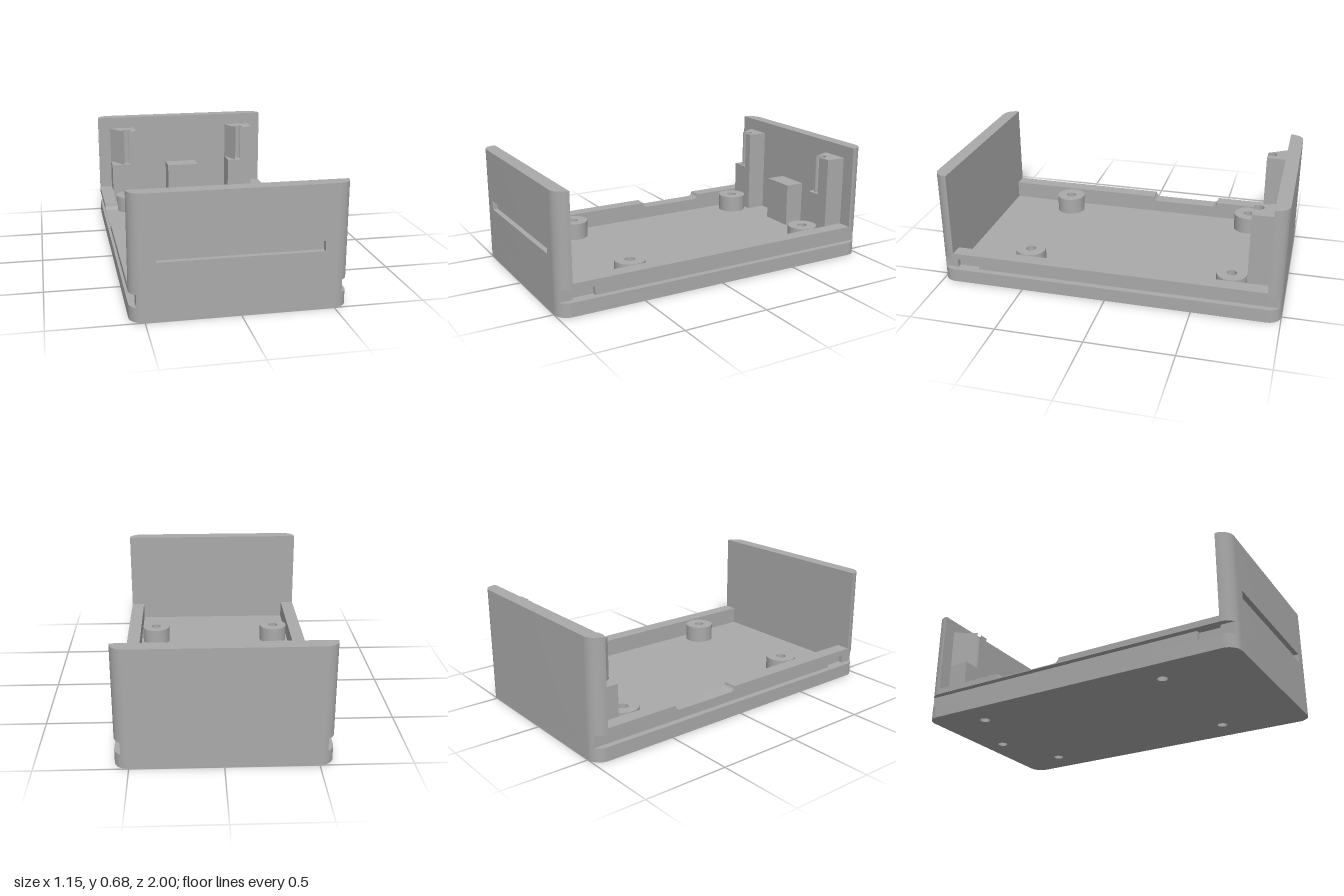
import * as THREE from 'three';
import { toCreasedNormals } from 'three/addons/utils/BufferGeometryUtils.js';

const W = 0.577, R = 0.077;           // half width, corner radius
const CX = W - R, CZ = 1 - R;         // corner arc centres
const IX = 0.495, IZ = 0.92;          // inner cavity half sizes
const FLOOR = 0.08, GROOVE = 0.15, RIM = 0.185, TOP = 0.68;
const HALF = Math.PI / 2;

export function createModel() {
  const group = new THREE.Group();
  const grey = new THREE.MeshStandardMaterial({ color: 0xaaaaaa });
  grey.name = 'case grey';

  const add = (geo, name) => {
    const mesh = new THREE.Mesh(toCreasedNormals(geo, 0.6), grey);
    mesh.name = name;
    group.add(mesh);
    return mesh;
  };
  // Extrudes a plan outline (shape y = -z) upward from y0 to y1
  const slab = (shape, y0, y1, name) => {
    const geo = new THREE.ExtrudeGeometry(shape, { depth: y1 - y0, bevelEnabled: false, curveSegments: 16 });
    geo.rotateX(-HALF);
    geo.translate(0, y0, 0);
    return add(geo, name);
  };
  const rect = (x0, x1, z0, z1) => new THREE.Shape([[x0, -z1], [x1, -z1], [x1, -z0], [x0, -z0]]
    .map(p => new THREE.Vector2(...p)));
  const circle = (x, z, r) => new THREE.Path().absarc(x, -z, r, 0, Math.PI * 2, true);

  // Rounded plan outline; a > 0 trims the sides for the rail groove and adds its latch pockets
  const outline = (a) => {
    const s = new THREE.Shape();
    const gx = CX + R * Math.cos(a), px = 0.515;
    s.absarc(CX, CZ, R, a, HALF);
    s.absarc(-CX, CZ, R, HALF, Math.PI - a);
    if (a) [[-gx, -0.78], [-px, -0.78], [-px, -0.91], [-gx, -0.91]].forEach(p => s.lineTo(...p));
    s.absarc(-CX, -CZ, R, Math.PI + a, 3 * HALF);
    s.absarc(CX, -CZ, R, 3 * HALF, 4 * HALF - a);
    if (a) [[gx, -0.91], [px, -0.91], [px, -0.78], [gx, -0.78]].forEach(p => s.lineTo(...p));
    s.closePath();
    return s;
  };

  const posts = [[-0.395, -0.7], [0.395, -0.7], [-0.395, 0.5], [0.395, 0.5]];

  // Floor with four screw holes and one blind hole under the middle block
  const floor = outline(0);
  [...posts, [0, -0.87]].forEach(([x, z]) => floor.holes.push(circle(x, z, 0.03)));
  slab(floor, 0, FLOOR, 'floor');

  // Wall band holding the side rail grooves
  const band = outline(Math.acos((0.542 - CX) / R));
  band.holes.push(rect(-IX, IX, -IZ, IZ));
  slab(band, FLOOR, GROOVE, 'grooveBand');

  // Left rim is plain
  slab(rect(IX, W, -IZ, IZ), GROOVE, RIM, 'leftRim');

  // Right rim has a shallow dip with rounded ends
  const d = RIM - 0.155;
  const rim = new THREE.Shape();
  rim.moveTo(-IZ, GROOVE);
  rim.lineTo(IZ, GROOVE);
  rim.lineTo(IZ, RIM);
  rim.lineTo(-0.055, RIM);
  rim.absarc(-0.055 - d, RIM, d, 0, -HALF, true);
  rim.absarc(-0.48 + d, RIM, d, -HALF, -Math.PI, true);
  rim.lineTo(-IZ, RIM);
  rim.closePath();
  const rimGeo = new THREE.ExtrudeGeometry(rim, { depth: W - IX, bevelEnabled: false });
  rimGeo.rotateY(-HALF);
  rimGeo.translate(-IX, 0, 0);
  add(rimGeo, 'rightRim');

  // End walls with rounded outer corners; the front one carries a shallow slot
  const endShape = (slot) => {
    const s = new THREE.Shape();
    s.moveTo(W, -IZ);
    s.lineTo(-W, -IZ);
    s.absarc(-CX, -CZ, R, Math.PI, 3 * HALF);
    if (slot) [[-0.44, -1], [-0.44, -0.97], [0.44, -0.97], [0.44, -1]].forEach(p => s.lineTo(...p));
    s.absarc(CX, -CZ, R, 3 * HALF, 4 * HALF);
    s.closePath();
    return s;
  };
  slab(endShape(false), GROOVE, 0.32, 'frontWallLower');
  slab(endShape(true), 0.32, 0.375, 'frontWallSlot');
  slab(endShape(false), 0.375, TOP, 'frontWallUpper');
  slab(endShape(false), GROOVE, TOP, 'backWall').rotation.y = Math.PI;

  // Hollow screw posts
  for (const [x, z] of posts) {
    const ring = new THREE.Shape().absarc(x, -z, 0.088, 0, Math.PI * 2);
    ring.holes.push(circle(x, z, 0.03));
    slab(ring, FLOOR, 0.182, 'screwPost');
  }

  // Middle block with a blind screw hole from below
  const middle = rect(-0.105, 0.105, -IZ, -0.8);
  middle.holes.push(circle(0, -0.87, 0.03));
  slab(middle, FLOOR, 0.28, 'middleBlockLower');
  slab(rect(-0.105, 0.105, -IZ, -0.8), 0.28, 0.35, 'middleBlockUpper');

  // Tall corner blocks with an open round slot at the top
  for (const side of [-1, 1]) {
    const x0 = side < 0 ? -IX : 0.325, x1 = side < 0 ? -0.325 : IX;
    const z = -0.797, cz = -0.823, r = 0.031;
    slab(rect(x0, x1, -IZ, z), FLOOR, 0.37, 'cornerBlockLower');
    const a = Math.asin((z - cz) / r);
    const s = new THREE.Shape();
    s.moveTo(x0, -z);
    s.absarc(side * 0.395, -cz, r, Math.PI + a, -a, true);
    s.lineTo(x1, -z);
    s.lineTo(x1, IZ);
    s.lineTo(x0, IZ);
    s.closePath();
    slab(s, 0.37, 0.605, 'cornerBlockUpper');
  }
  return group;
}
